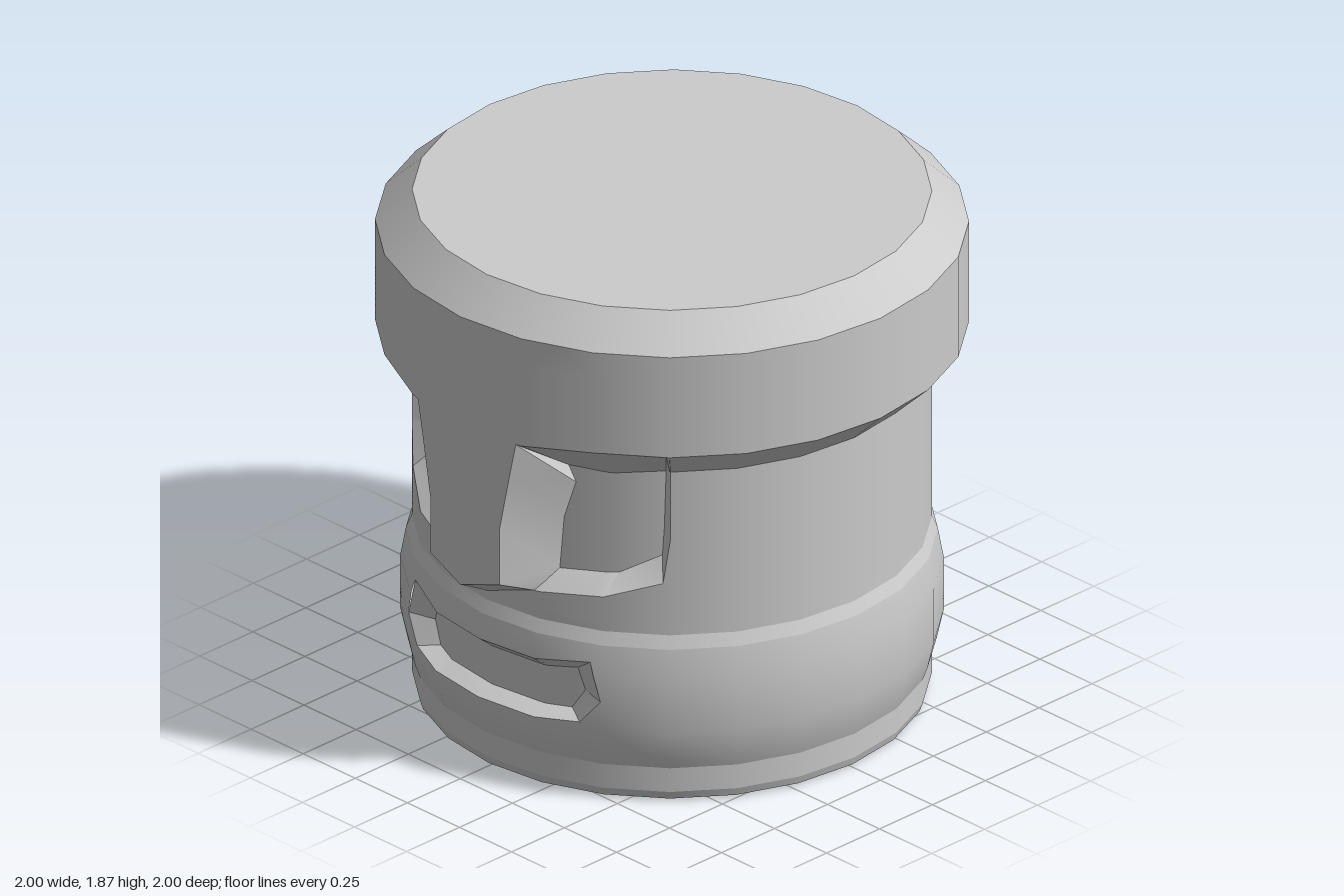
import * as THREE from 'three';
import { toCreasedNormals } from 'three/addons/utils/BufferGeometryUtils.js';

const SIDES = 24, STEP = (Math.PI * 2) / SIDES, HALF = SIDES / 2;
const material = new THREE.MeshStandardMaterial({ color: 0xcccccc, side: THREE.DoubleSide });

// Radius / height profiles
const BODY = [[0.84, 0], [0.865, 0.01], [0.875, 0.04], [0.875, 0.13], [0.893, 0.18], [0.915, 0.28],
  [0.915, 0.48], [0.895, 0.59], [0.875, 0.635], [0.875, 1.255]];
const HAT = [[1, 0], [1, 1.755], [0.875, 1.87]];
const EYE_R = 0.8, MOUTH_R = 0.85;

// Unrolled coordinates: u counts facets round from the front, y is height
function uOf(x, r) {
  const a = Math.abs(x) / r, k = Math.floor(Math.asin(a) / STEP);
  const s0 = Math.sin(k * STEP), s1 = Math.sin((k + 1) * STEP);
  return Math.sign(x) * (k + (a - s0) / (s1 - s0));
}
const P = (x, y, r) => [uOf(x, r), y, r];
const mirror = (pts) => pts.map(([u, y, r]) => [-u, y, r]);

function onFacet(u, y, r) {
  const k = Math.floor(u), t = u - k, a = k * STEP, b = a + STEP;
  return [r * (Math.sin(a) * (1 - t) + Math.sin(b) * t), y, r * (Math.cos(a) * (1 - t) + Math.cos(b) * t)];
}

function radiusAt(profile, y) {
  let i = 0;
  while (i < profile.length - 2 && y > profile[i + 1][1]) i++;
  const [r0, y0] = profile[i], [r1, y1] = profile[i + 1];
  return r0 + (r1 - r0) * (y - y0) / (y1 - y0);
}

// Cuts every triangle along one line of the unrolled plane
function split(tris, axis, c) {
  const out = [];
  for (const tri of tris) for (const s of [1, -1]) {
    const poly = [];
    tri.forEach((p, i) => {
      const q = tri[(i + 1) % 3], dp = s * (p[axis] - c), dq = s * (q[axis] - c);
      if (dp >= 0) poly.push(p);
      if (dp * dq < 0) {
        const t = dp / (dp - dq);
        const m = [p[0] + (q[0] - p[0]) * t, p[1] + (q[1] - p[1]) * t];
        m[axis] = c;
        poly.push(m);
      }
    });
    if (poly.every((p) => Math.abs(p[axis] - c) < 1e-9)) continue;
    for (let i = 1; i < poly.length - 1; i++) out.push([poly[0], poly[i], poly[i + 1]]);
  }
  return out;
}

// Wraps a flat outline with holes round the faceted profile
function wall(name, profile, outline, holes = []) {
  const toV = (pts) => pts.map(([u, y]) => new THREE.Vector2(u, y));
  const shape = new THREE.Shape(toV(outline));
  for (const h of holes) shape.holes.push(new THREE.Path(toV(h)));
  const flat = new THREE.ShapeGeometry(shape).toNonIndexed().attributes.position;
  let tris = [];
  for (let i = 0; i < flat.count; i += 3) {
    tris.push([0, 1, 2].map((j) => [flat.getX(i + j), flat.getY(i + j)]));
  }
  for (let k = 1 - HALF; k < HALF; k++) tris = split(tris, 0, k);
  for (const [, y] of profile.slice(1, -1)) tris = split(tris, 1, y);

  const slope = (i) => (profile[i + 1][0] - profile[i][0]) / (profile[i + 1][1] - profile[i][1]);
  const joint = (i, j) => { // blend gentle bends, keep sharp ones
    if (j < 0 || j > profile.length - 2 || Math.abs(slope(i) - slope(j)) > 0.23) return slope(i);
    return (slope(i) + slope(j)) / 2;
  };
  const pos = [], nor = [];
  for (const tri of tris) {
    const cy = (tri[0][1] + tri[1][1] + tri[2][1]) / 3;
    let i = 0;
    while (i < profile.length - 2 && cy > profile[i + 1][1]) i++;
    const y0 = profile[i][1], y1 = profile[i + 1][1], s0 = joint(i, i - 1), s1 = joint(i, i + 1);
    for (const [u, y] of tri) {
      pos.push(...onFacet(u, y, radiusAt(profile, y)));
      const m = s0 + (s1 - s0) * (y - y0) / (y1 - y0), l = Math.hypot(1, m);
      nor.push(Math.sin(u * STEP) / l, -m / l, Math.cos(u * STEP) / l);
    }
  }
  const g = new THREE.BufferGeometry();
  g.setAttribute('position', new THREE.Float32BufferAttribute(pos, 3));
  g.setAttribute('normal', new THREE.Float32BufferAttribute(nor, 3));
  return named(name, g);
}

// Bevel joining two outlines point by point, bending at the facet edges
function strip(name, a, b) {
  const pos = [];
  const mix = (p, q, t) => onFacet(...p.map((v, i) => v + (q[i] - v) * t));
  for (let i = 0; i < a.length - 1; i++) {
    const ts = [0, 1];
    for (const [p, q] of [[a[i], a[i + 1]], [b[i], b[i + 1]]]) {
      for (let k = -HALF; k <= HALF; k++) {
        const t = (k - p[0]) / (q[0] - p[0]);
        if (t > 1e-4 && t < 1 - 1e-4 && !ts.some((v) => Math.abs(v - t) < 1e-4)) ts.push(t);
      }
    }
    ts.sort((m, n) => m - n);
    for (let j = 0; j < ts.length - 1; j++) {
      const a0 = mix(a[i], a[i + 1], ts[j]), a1 = mix(a[i], a[i + 1], ts[j + 1]);
      const b0 = mix(b[i], b[i + 1], ts[j]), b1 = mix(b[i], b[i + 1], ts[j + 1]);
      pos.push(...a0, ...a1, ...b1, ...a0, ...b1, ...b0);
    }
  }
  const g = new THREE.BufferGeometry();
  g.setAttribute('position', new THREE.Float32BufferAttribute(pos, 3));
  return named(name, toCreasedNormals(g, 0.32));
}

function named(name, geometry) {
  const mesh = new THREE.Mesh(geometry, material);
  mesh.name = name;
  return mesh;
}

function cap(name, r, y, dir) {
  const mesh = named(name, new THREE.CircleGeometry(r, SIDES));
  mesh.rotation.x = -dir * Math.PI / 2;
  mesh.position.y = y;
  return mesh;
}

export function createModel() {
  const model = new THREE.Group();
  model.name = 'carvedFaceMug';

  // Eye outlines: rim on the body, floor sunk behind it
  const eyeRim = [[0.62, 1.255], [0.62, 1.0], [0.6, 0.83], [0.44, 0.765], [0.2, 0.735]].map(([x, y]) => P(x, y, 0.875));
  const eyeFloor = [[0.555, 1.22], [0.55, 1.0], [0.545, 0.9], [0.43, 0.825], [0.22, 0.8]].map(([x, y]) => P(x, y, EYE_R));
  const notch = [...eyeRim, P(0.2, 1.255, 0.875)];

  // Mouth outlines, right half running from top to bottom
  const loop = (half) => {
    const full = [...half, ...mirror(half).reverse()];
    return [...full, full[0]];
  };
  const mouthRim = loop([[0.23, 0.5], [0.42, 0.525], [0.46, 0.385], [0.39, 0.295], [0.23, 0.28]]
    .map(([x, y]) => P(x, y, radiusAt(BODY, y))));
  const mouthFloor = loop([[0.235, 0.45], [0.335, 0.465], [0.36, 0.385], [0.315, 0.31], [0.23, 0.305]]
    .map(([x, y]) => P(x, y, MOUTH_R)));

  // Barrel body with eye notches and mouth opening
  model.add(wall('body', BODY,
    [[-HALF, 0], [HALF, 0], [HALF, 1.255], ...notch, ...mirror(notch).reverse(), [-HALF, 1.255]],
    [mouthRim.slice(0, -1)]));
  model.add(cap('base', 0.84, 0, -1));

  // Brow band and nose share one outer surface; pairs are outer edge, inner edge
  const edge = [
    [[HALF, 1.375, 1], [HALF, 1.255, 0.875]],
    [[eyeRim[0][0], 1.375, 1], eyeRim[0]],
    [P(0.62, 1.375, 1), eyeFloor[0]],
    [P(0.5, 1.375, 1), P(0.42, 1.2, EYE_R)],
    [P(0.235, 1.345, 1), P(0.265, 1.2, EYE_R)],
    [P(0.205, 1.2, 1), P(0.29, 1.14, EYE_R)],
    [P(0.166, 1.0, 1), P(0.25, 1.0, EYE_R)],
    [P(0.166, 0.79, 1), P(0.235, 0.8, EYE_R)],
    [P(0.166, 0.79, 1), P(0.2, 0.735, 0.875)],
    [[0, 0.738, 1], [0, 0.67, 0.875]],
  ];
  const [outer, inner] = [0, 1].map((i) => {
    const half = edge.map((e) => e[i]);
    return [...half, ...mirror(half).reverse().slice(1)];
  });
  const hatEdge = outer.filter((p, i) => i === 0 || p[0] !== outer[i - 1][0] || p[1] !== outer[i - 1][1]);
  model.add(wall('browBandAndNose', HAT, [...hatEdge, [-HALF, 1.87], [HALF, 1.87]]));
  model.add(strip('browAndNoseUnderside', outer, inner));
  model.add(cap('top', 0.875, 1.87, 1));

  // Sunken eyes
  for (const side of ['left', 'right']) {
    const m = side === 'left' ? (p) => p : mirror;
    model.add(strip(side + 'EyeBevel', m(eyeRim), m(eyeFloor)));
    model.add(wall(side + 'EyeFloor', [[EYE_R, 0], [EYE_R, 2]], m([...eyeFloor, P(0.2, 1.22, EYE_R)])));
  }

  // Sunken mouth
  model.add(strip('mouthBevel', mouthRim, mouthFloor));
  model.add(wall('mouthFloor', [[MOUTH_R, 0], [MOUTH_R, 2]], mouthFloor.slice(0, -1)));
  return model;
}
